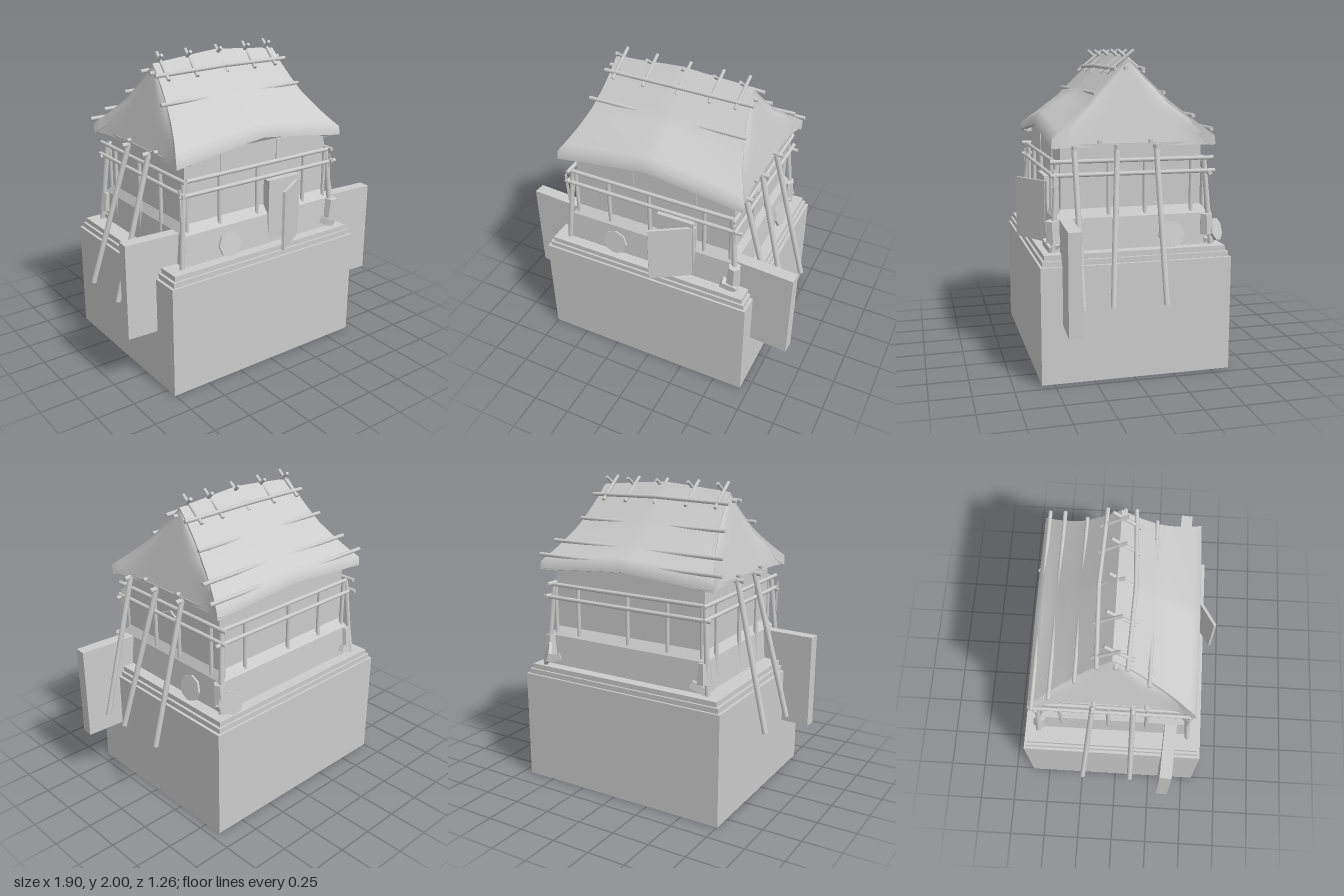
import * as THREE from 'three';
import { toCreasedNormals } from 'three/addons/utils/BufferGeometryUtils.js';

const CX = -0.02, CZ = -0.02; // middle of the house
const lerp = THREE.MathUtils.lerp;

export function createModel() {
  const root = new THREE.Group();
  const mat = new THREE.MeshStandardMaterial({ color: 0xcccccc });
  const flat = new THREE.MeshStandardMaterial({ color: 0xcccccc, flatShading: true });
  const thin = new THREE.MeshStandardMaterial({ color: 0xcccccc, side: THREE.DoubleSide, flatShading: true });
  const soft = new THREE.MeshStandardMaterial({ color: 0xcccccc, side: THREE.DoubleSide });

  const add = (name, geo, m = mat, pos = [0, 0, 0], rot = [0, 0, 0]) => {
    const mesh = new THREE.Mesh(geo, m);
    mesh.name = name;
    mesh.position.set(...pos);
    mesh.rotation.set(...rot);
    root.add(mesh);
    return mesh;
  };
  const box = (name, size, pos, rot) => add(name, new THREE.BoxGeometry(...size), flat, pos, rot);
  // round pole between two points
  const rod = (name, a, b, r = 0.013) => {
    const p = new THREE.Vector3(...a), q = new THREE.Vector3(...b);
    const d = q.clone().sub(p);
    const mesh = add(name, new THREE.CylinderGeometry(r, r, d.length(), 10), mat);
    mesh.position.copy(p).add(q).multiplyScalar(0.5);
    mesh.quaternion.setFromUnitVectors(new THREE.Vector3(0, 1, 0), d.normalize());
  };
  // surface from rows of points
  const grid = (rows, closed) => {
    const n = rows[0].length, idx = [];
    for (let j = 0; j < rows.length - 1; j++)
      for (let i = 0; i < (closed ? n : n - 1); i++) {
        const a = j * n + i, b = j * n + (i + 1) % n;
        idx.push(a, a + n, b, b, a + n, b + n);
      }
    const g = new THREE.BufferGeometry();
    g.setAttribute('position', new THREE.Float32BufferAttribute(rows.flat(2), 3));
    g.setIndex(idx);
    g.computeVertexNormals();
    return g;
  };
  // rectangular ring standing on y0, hollow in the middle
  const rectPath = (C, [x0, x1, z0, z1]) =>
    new C().moveTo(x0, -z1).lineTo(x1, -z1).lineTo(x1, -z0).lineTo(x0, -z0);
  const ring = (name, outer, inner, y0, h) => {
    const s = rectPath(THREE.Shape, outer);
    s.holes.push(rectPath(THREE.Path, inner));
    const g = new THREE.ExtrudeGeometry(s, { depth: h, bevelEnabled: false });
    add(name, g.rotateX(-Math.PI / 2), flat, [0, y0, 0]);
  };

  // three nested hollow plinth shells, each a step higher
  const hole = [-0.58, 0.55, -0.47, 0.43];
  for (const [k, inset] of [0, 0.019, 0.037].entries()) {
    const rect = d => [-0.755 + d, 0.695 - d, -0.621 + d * 0.75, 0.578 - d * 0.75];
    ring('plinthWall', rect(inset), rect(inset + 0.008), k * 0.033, 0.717);
    ring('plinthStep', rect(inset), hole, k * 0.033 + 0.717, 0.01);
  }

  // house walls: sloping foot with a shoulder, and upright upper part
  const wallBand = (name, sections) => {
    const corners = [[-1, 1], [-1, -1], [1, -1], [1, 1]];
    add(name, grid(sections.map(([hx, y, hz]) =>
      corners.map(([sx, sz]) => [CX + 0.008 + sx * hx, y, CZ + sz * hz])), true), thin);
  };
  wallBand('wallFoot', [[0.595, 0.79, 0.502], [0.58, 0.99, 0.488], [0.55, 1.045, 0.444]]);
  wallBand('upperWall', [[0.55, 1.045, 0.444], [0.55, 1.47, 0.444]]);
  for (const x of [-0.22, 0.21]) box('wallBoard', [0.155, 0.14, 0.012], [x, 1.395, 0.424]);
  box('doorway', [0.25, 0.42, 0.06], [0.165, 1.005, 0.45]);
  box('openDoor', [0.3, 0.39, 0.018], [0.172, 0.988, 0.54], [0, 0.56, 0]);

  // posts and rails round the house, some posts running down into the plinth
  const PZ = 0.465;
  for (const s of [-1, 1]) {
    for (const x of [-0.56, -0.32, -0.03, 0.35, 0.53])
      rod('railPost', [x, s > 0 ? 0.04 : 0.75, CZ + s * PZ], [x, 1.33, CZ + s * PZ]);
    for (const z of s > 0 ? [0.13, -0.1, -0.4] : [0.2, -0.05, -0.36])
      rod('sidePost', [CX + s * 0.57, s > 0 ? 0.75 : 0.04, z], [CX + s * 0.57, 1.33, z]);
    for (const t of [-1, 1])
      rod('cornerPost', [CX + s * 0.605, 0.79, CZ + t * 0.505], [CX + s * 0.56, 1.33, CZ + t * 0.465], 0.017);
    rod('lowerRail', [-0.63, 1.245, CZ + s * 0.485], [0.61, 1.245, CZ + s * 0.485]);
    rod('upperRail', [-0.57, 1.33, CZ + s * 0.475], [0.55, 1.33, CZ + s * 0.475]);
    rod('sideLowerRail', [CX + s * 0.585, 1.255, -0.55], [CX + s * 0.585, 1.255, 0.49]);
    rod('sideUpperRail', [CX + s * 0.575, 1.335, -0.54], [CX + s * 0.575, 1.335, 0.49]);
  }

  // thatched roof: sagging towards the gables, raised in the middle of the eaves
  const stops = [0, 0.2, 0.5, 0.8, 1];
  const endY = [1.94, 1.838, 1.685, 1.56, 1.48];
  const frontY = [1.98, 1.875, 1.73, 1.64, 1.568], backY = [1.98, 1.875, 1.725, 1.59, 1.53];
  const sample = (ys, s) => {
    let i = 0;
    while (i < 3 && s > stops[i + 1]) i++;
    return lerp(ys[i], ys[i + 1], (s - stops[i]) / (stops[i + 1] - stops[i]));
  };
  const endX = a => 0.47 + 0.165 * Math.pow(a, 1.8);
  const roofPoint = (s, t, under) => {
    const a = Math.abs(s);
    const y = lerp(sample(s > 0 ? frontY : backY, a), sample(endY, a), Math.pow(Math.abs(t), 1.12));
    return [CX + t * endX(a), under ? y - 0.062 : y, CZ + s * (under ? 0.485 : 0.505)];
  };
  const NS = 24, NT = 28;
  const loopAt = t => {
    // rounded eave between upper and lower skins
    const lip = s => {
      const [x, y, z] = roofPoint(s, t, false);
      return [x, y - 0.055, z + s * 0.008];
    };
    const upper = [], under = [];
    for (let i = 0; i <= NS; i++) {
      upper.push(roofPoint(1 - 2 * i / NS, t, false));
      under.push(roofPoint(-1 + 2 * i / NS, t, true));
    }
    return [lip(1), ...upper, lip(-1), ...under];
  };
  const cols = [];
  for (let j = 0; j <= NT; j++) cols.push(loopAt(-1 + 2 * j / NT));
  // close each end by drawing the skins together
  const n = cols[0].length;
  const cap = c => c.map((p, i) => {
    const o = (i === 0 || i === NS + 2) ? p : c[n - i];
    return p.map((v, k) => (v + o[k]) / 2);
  });
  const ends = [cap(cols[0]), cap(cols[NT])];
  add('thatchedRoof', toCreasedNormals(grid([ends[0], ...cols, ends[1]], true), 1), soft);

  // gables lean outwards towards the foot, their edges curving out to the thatch
  const gableX = y => lerp(0.465, 0.59, (1.94 - y) / 0.52);
  const across = Array.from({ length: 17 }, (_, i) => i / 8 - 1);
  for (const s of [-1, 1]) {
    const rows = [[1.925, 0.005], [1.825, 0.1], [1.67, 0.25], [1.545, 0.405], [1.455, 0.5], [1.42, 0.5]];
    add('gable', grid(rows.map(([y, hz]) => across.map(f =>
      [CX + s * lerp(gableX(y), endX(hz / 0.505) - 0.004, f ** 6), y, CZ + f * hz]))), soft);
    box('gableSoffit', [0.06, 0.02, 0.96], [CX + s * 0.56, 1.43, CZ]);
    for (const [z, y] of [[0.19, 1.45], [-0.13, 1.45], [0, 1.885], [0.47, 1.44], [-0.52, 1.44]])
      rod('beamEnd', [CX + s * (gableX(y) - 0.06), y, z], [CX + s * (gableX(y) + 0.025), y, z]);
  }

  // poles lying on the thatch
  for (const s of [-1, 1]) {
    for (const e of [-1, 1])
      rod('ridgePole', [CX, 1.894, CZ + s * 0.107], [CX + e * 0.505, 1.88, CZ + s * 0.087]);
    rod('roofPole', [-0.57, 1.735, CZ + s * 0.216], [0.495, 1.735, CZ + s * 0.216], 0.012);
  }
  rod('backRoofPole', [-0.64, 1.6, -0.39], [0.6, 1.6, -0.39]);
  rod('eavePole', [-0.69, 1.52, -0.495], [0.64, 1.52, -0.495]);

  // crossed sticks over the ridge, mostly sunk in the thatch
  for (const x of [-0.44, -0.23, 0, 0.22, 0.39])
    for (const s of [-1, 1])
      rod('ridgeStick', [x + s * 0.012, 1.995, CZ - s * 0.05], [x - 0.01, 1.852, CZ + s * 0.122], 0.011);

  // long props leaning on the gables
  for (const [x0, z0, x1, z1] of [
    [0.57, 0.345, 0.82, 0.345], [0.57, 0.08, 0.82, 0.165], [0.57, -0.165, 0.82, -0.165],
    [-0.61, -0.135, -0.87, -0.22], [-0.61, 0.11, -0.87, 0.11],
  ]) {
    rod('leaningProp', [x0, 1.43, z0], [x1, 0.49, z1], 0.018);
    const e = Math.sign(x0);
    rod('propBeam', [x0 - e * 0.04, 1.42, z0], [x0 + e * 0.05, 1.42, z0], 0.015);
  }

  // upright slabs through the plinth sides
  box('sideSlab', [0.5, 0.62, 0.078], [0.7, 0.68, 0.407], [0, -0.06, 0]);
  box('sideSlab', [0.5, 0.62, 0.078], [-0.7, 0.68, 0.357], [0, -0.06, 0]);

  // eight-sided shields leaning on the wall foot
  const disc = new THREE.CylinderGeometry(0.085, 0.085, 0.015, 8);
  add('frontShield', disc, flat, [-0.27, 0.87, 0.487], [Math.PI / 2 - 0.15, 0, 0]);
  add('sideShield', disc, flat, [0.602, 0.87, -0.26], [0, 0, -(Math.PI / 2 - 0.2)]);
  add('backDisc', new THREE.CylinderGeometry(0.075, 0.075, 0.02, 8), flat, [0.55, 0.875, -0.57], [-1.2, 0, -0.75]);

  // stretched hide on the gable-side wall
  const hide = new THREE.ExtrudeGeometry(new THREE.Shape([
    [-0.1, 1.09], [-0.02, 1.07], [0.09, 1.09], [0.075, 1.16], [0.09, 1.25], [0.02, 1.295], [-0.06, 1.265], [-0.075, 1.19],
  ].map(p => new THREE.Vector2(p[0], p[1]))), { depth: 0.012, bevelEnabled: false });
  add('hide', hide.rotateY(Math.PI / 2), flat, [0.538, 0, 0]);

  // stones and tilted blocks at the corners
  const stone = new THREE.CylinderGeometry(0.04, 0.05, 0.13, 6);
  for (const [x, z] of [[0.572, 0.48], [0.565, -0.5], [-0.59, -0.505]]) {
    add('cornerStone', stone, flat, [x, 0.922, z], [0.08, 0.3, -0.06]);
    box('tiltedBlock', [0.1, 0.045, 0.07], [x - Math.sign(x) * 0.03, 0.83, z + Math.sign(z) * 0.005], [0.15, 0.2, -Math.sign(x) * 0.4]);
  }

  // strips hanging from the rail ends
  for (const x of [-0.62, 0.56]) box('hangingStrip', [0.012, 0.2, 0.014], [x, 1.19, 0.465], [0, 0.3, 0.04]);

  return root;
}
